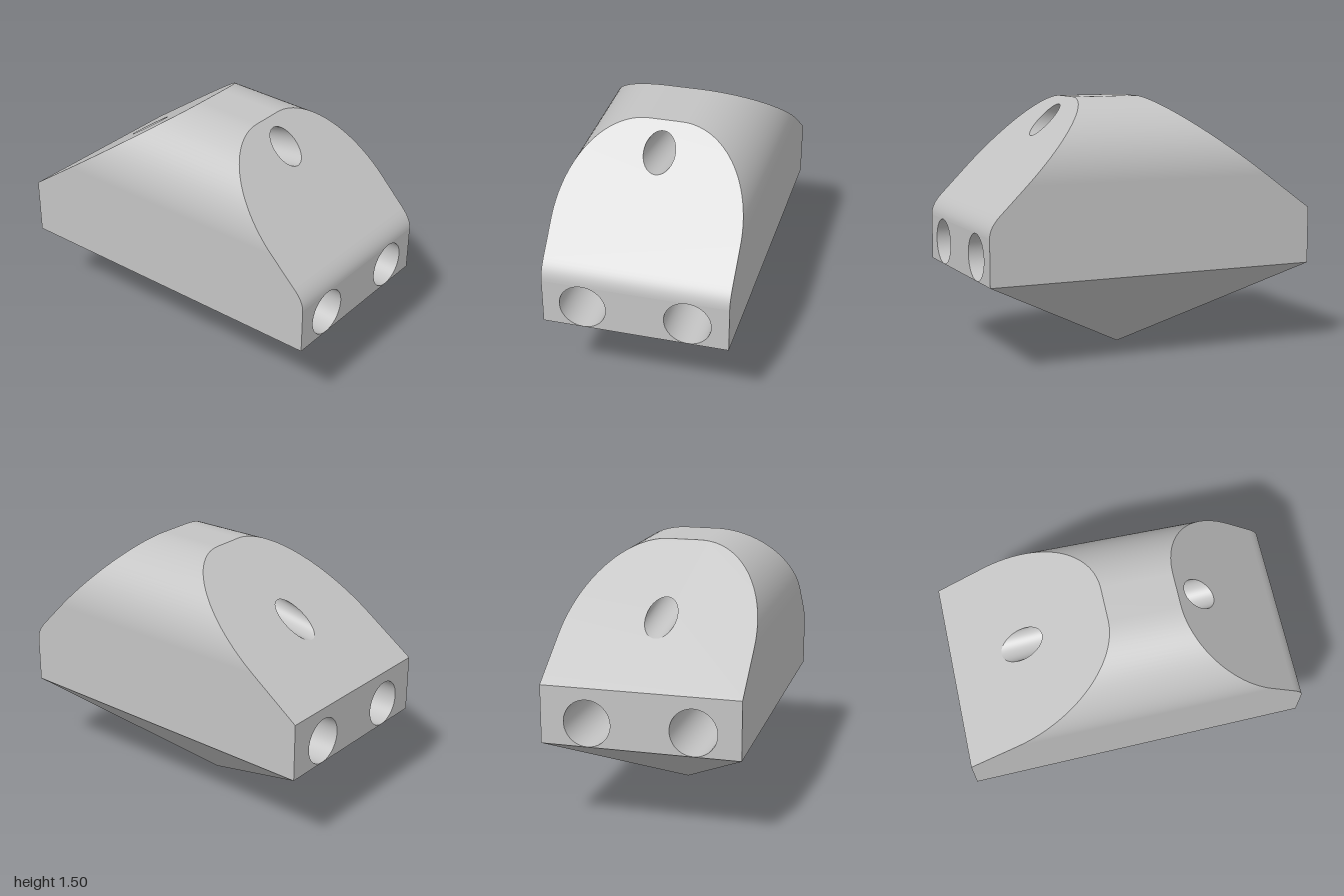
import * as THREE from 'three';

const BASE = 0.505, TOP = 1.505, HALF = 0.55, ROUND = 0.455;
const LEFT_EDGE = 0.84, FILLET_LOW = 0.775, FILLET_HIGH = 0.895;

// end surfaces: x position of each end at height y
const xLow = (y) => (y <= LEFT_EDGE ? -1 : -1 + 0.92 * (y - LEFT_EDGE) / (TOP - LEFT_EDGE));
const xHigh = (y) => {
  if (y <= FILLET_LOW) return 1;
  const t = (y - FILLET_LOW) / (FILLET_HIGH - FILLET_LOW);
  return t < 1 ? 1 - 0.06 * t * t : 0.94 - (y - FILLET_HIGH);
};
const taper = (x) => 1 - 0.03 * x;

// ruled surface between two rows of points
function loft(a, b, closed = false) {
  const n = a.length, index = [];
  for (let i = 0; i < (closed ? n : n - 1); i++) {
    const j = (i + 1) % n;
    index.push(i, n + i, j, n + i, n + j, j);
  }
  const g = new THREE.BufferGeometry().setFromPoints([...a, ...b]);
  g.setIndex(index);
  g.computeVertexNormals();
  return g;
}

// half of the arched cross-section, bottom to top, as (z, y)
function archProfile() {
  const half = [];
  const levels = [BASE, FILLET_LOW];
  for (let i = 1; i <= 8; i++) levels.push(FILLET_LOW + (FILLET_HIGH - FILLET_LOW) * i / 8);
  levels.push(LEFT_EDGE);
  levels.sort((p, q) => p - q).forEach((y) => half.push([HALF, y]));
  for (let i = 0; i <= 28; i++) {
    const t = (i / 28) * Math.PI / 2;
    half.push([HALF - ROUND + ROUND * Math.cos(t), TOP - ROUND + ROUND * Math.sin(t)]);
  }
  return [...half, ...half.slice().reverse().map(([z, y]) => [-z, y])];
}

// end panel with round holes, laid onto an end surface
function endPanel(profile, xAt, side, y0, y1, holes) {
  const edge = profile.filter(([, y]) => y >= y0 - 1e-6 && y <= y1 + 1e-6);
  const outline = [[HALF, y0], ...edge, [-HALF, y0]]
    .map(([z, y]) => new THREE.Vector2(z * taper(xAt(y)), y))
    .filter((p, i, all) => i === 0 || p.distanceTo(all[i - 1]) > 1e-5);
  const shape = new THREE.Shape(outline);
  holes.forEach(([z, y, r]) => {
    const path = new THREE.Path();
    path.absarc(z, y, r, 0, Math.PI * 2, true);
    shape.holes.push(path);
  });
  const g = new THREE.ShapeGeometry(shape, 24);
  const p = g.attributes.position;
  for (let i = 0; i < p.count; i++) {
    const u = p.getX(i), y = p.getY(i);
    p.setXYZ(i, xAt(y), y, -side * u);
  }
  g.computeVertexNormals();
  return g;
}

// inward-facing passage from the left slope side to the right slope side
function tunnel(z, yA, yB, r) {
  const a = [], b = [];
  for (let i = 0; i < 48; i++) {
    const t = (i / 48) * Math.PI * 2;
    const dz = r * Math.cos(t), dy = -r * Math.sin(t);
    a.push(new THREE.Vector3(xLow(yA + dy), yA + dy, z + dz));
    b.push(new THREE.Vector3(xHigh(yB + dy), yB + dy, z + dz));
  }
  return loft(a, b, true);
}

export function createModel() {
  const group = new THREE.Group();
  const grey = new THREE.MeshStandardMaterial({ color: 0xc4c4c4 });
  grey.name = 'plain grey';
  const add = (name, geometry) => {
    const mesh = new THREE.Mesh(geometry, grey);
    mesh.name = name;
    group.add(mesh);
  };
  const profile = archProfile();
  const onEnd = (xAt) => profile.map(([z, y]) => new THREE.Vector3(xAt(y), y, z * taper(xAt(y))));

  // arched shell
  add('archedShell', loft(onEnd(xLow), onEnd(xHigh)));

  // end walls and slopes
  const bores = [[-0.3, 0.64, 0.134], [0.3, 0.64, 0.134]];
  add('rightEndWall', endPanel(profile, xLow, -1, BASE, LEFT_EDGE, bores));
  add('rightSlope', endPanel(profile, xLow, -1, LEFT_EDGE, TOP, [[0, 1.15, 0.09]]));
  add('leftEndWall', endPanel(profile, xHigh, 1, BASE, FILLET_LOW, bores));
  add('leftSlope', endPanel(profile, xHigh, 1, FILLET_HIGH, TOP, [[0, 1.37, 0.09]]));

  // rounded edge between the left wall and slope
  const rows = [1, -1].map((s) => Array.from({ length: 9 }, (_, i) => {
    const y = FILLET_LOW + (FILLET_HIGH - FILLET_LOW) * i / 8, x = xHigh(y);
    return new THREE.Vector3(x, y, s * HALF * taper(x));
  }));
  add('roundedEdge', loft(rows[0], rows[1]));

  // through holes
  bores.forEach(([z, y, r]) => add('lowerBore', tunnel(z, y, y, r)));
  add('upperBore', tunnel(0, 1.15, 1.37, 0.09));

  // pointed underside
  const corners = [[-1, 1], [1, 1], [1, -1], [-1, -1]]
    .map(([x, s]) => new THREE.Vector3(x, BASE, s * HALF * taper(x)));
  const faces = corners.flatMap((c, i) => [new THREE.Vector3(), corners[(i + 1) % 4], c]);
  const point = new THREE.BufferGeometry().setFromPoints(faces);
  point.computeVertexNormals();
  add('pointedBase', point);

  return group;
}
